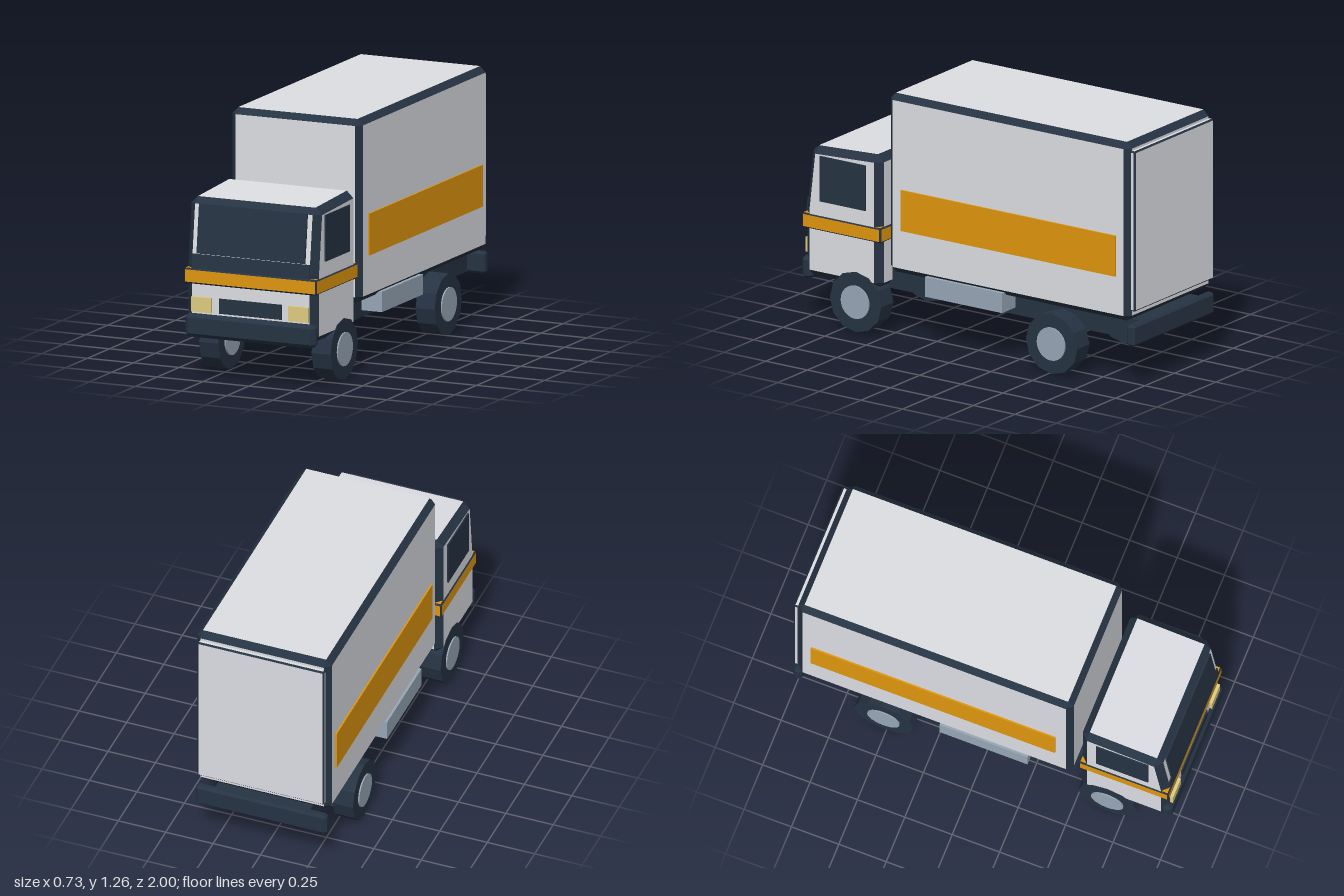
import * as THREE from 'three';

const mat = (name, color) => {
  const m = new THREE.MeshStandardMaterial({ color });
  m.name = name;
  return m;
};

// Convex prism along x with chamfered edges: group 0 = flat panels, group 1 = chamfers.
// corners are inset [z, y] points; panels are pushed outward from them by c.
function chamferedPrism(corners, halfWidth, c) {
  const n = corners.length, panels = [], bevels = [];
  const centre = new THREE.Vector3();
  corners.forEach(([z, y]) => centre.add(new THREE.Vector3(0, y / n, z / n)));
  const point = (x, [z, y]) => new THREE.Vector3(x, y, z);
  const face = (list, pts) => {
    const normal = new THREE.Vector3().crossVectors(
      pts[1].clone().sub(pts[0]), pts[2].clone().sub(pts[0]));
    if (normal.dot(pts[0].clone().sub(centre)) < 0) pts.reverse();
    for (let i = 1; i < pts.length - 1; i++)
      for (const p of [pts[0], pts[i], pts[i + 1]]) list.push(p.x, p.y, p.z);
  };
  // Outward-shifted copy of each edge
  const edges = corners.map((a, i) => {
    const b = corners[(i + 1) % n];
    const dz = b[0] - a[0], dy = b[1] - a[1], l = Math.hypot(dz, dy);
    const shift = p => [p[0] + c * dy / l, p[1] - c * dz / l];
    return [shift(a), shift(b)];
  });
  const inner = halfWidth - c;
  for (let i = 0; i < n; i++) {
    const j = (i + 1) % n, [a, b] = edges[i], next = edges[j][0];
    face(panels, [point(-inner, a), point(-inner, b), point(inner, b), point(inner, a)]);
    face(bevels, [point(-inner, b), point(-inner, next), point(inner, next), point(inner, b)]);
    for (const s of [-1, 1]) {
      face(bevels, [point(s * halfWidth, corners[i]), point(s * halfWidth, corners[j]),
        point(s * inner, b), point(s * inner, a)]);
      face(bevels, [point(s * halfWidth, corners[j]), point(s * inner, b), point(s * inner, next)]);
    }
  }
  for (const s of [-1, 1]) face(panels, corners.map(p => point(s * halfWidth, p)));
  const g = new THREE.BufferGeometry();
  g.setAttribute('position', new THREE.Float32BufferAttribute([...panels, ...bevels], 3));
  g.addGroup(0, panels.length / 3, 0);
  g.addGroup(panels.length / 3, bevels.length / 3, 1);
  g.computeVertexNormals();
  return g;
}

export function createModel() {
  const truck = new THREE.Group();
  truck.name = 'boxTruck';
  const white = mat('white paint', 0xdcdee3);
  const dark = mat('dark navy', 0x263343);
  const orange = mat('orange stripe', 0xe0960e);
  const steel = mat('blue grey metal', 0x97a6b5);
  const lamp = mat('headlight cream', 0xdfcd80);

  const add = (name, geometry, material, parent = truck) => {
    const m = new THREE.Mesh(geometry, material);
    m.name = name;
    parent.add(m);
    return m;
  };
  // Box given by its limits
  const block = (name, material, x0, x1, y0, y1, z0, z1) => {
    const m = add(name, new THREE.BoxGeometry(x1 - x0, y1 - y0, z1 - z0), material);
    m.position.set((x0 + x1) / 2, (y0 + y1) / 2, (z0 + z1) / 2);
    return m;
  };
  // Chamfered box given by its outer limits
  const bevelBox = (name, panel, edge, halfWidth, y0, y1, z0, z1, c) =>
    add(name, chamferedPrism([[z1 - c, y0 + c], [z1 - c, y1 - c], [z0 + c, y1 - c], [z0 + c, y0 + c]],
      halfWidth, c), [panel, edge]);

  // Chassis and bumpers
  block('chassis', dark, -0.25, 0.25, 0.225, 0.33, -0.975, 0.96);
  bevelBox('frontBumper', dark, dark, 0.355, 0.215, 0.335, 0.94, 1.0, 0.02);
  bevelBox('rearBumper', dark, dark, 0.345, 0.22, 0.33, -1.0, -0.955, 0.012);

  // Cargo box with rear door
  bevelBox('cargoBox', white, dark, 0.355, 0.345, 1.265, -0.975, 0.475, 0.03);
  bevelBox('rearDoor', white, dark, 0.335, 0.4, 1.225, -1.0, -0.97, 0.008);

  // Cab with sloping windscreen wall
  const cab = [[0.945, 0.27], [0.945, 0.575], [0.91, 0.873], [0.555, 0.891], [0.555, 0.27]];
  add('cab', chamferedPrism(cab, 0.355, 0.035), [white, dark]);
  bevelBox('cabStripe', orange, dark, 0.361, 0.482, 0.56, 0.513, 0.988, 0.008);

  // Windscreen and sill, lying on the slope
  const slope = Math.atan2(0.035, 0.298);
  const onSlope = (name, width, y0, y1, lift) => {
    const m = add(name, new THREE.BoxGeometry(width, (y1 - y0) / Math.cos(slope), 0.009), dark);
    const y = (y0 + y1) / 2;
    m.position.set(0, y, 0.98 - (y - 0.579) * Math.tan(slope) + lift);
    m.rotation.x = -slope;
  };
  onSlope('windscreen', 0.59, 0.635, 0.88, 0.004);
  onSlope('windscreenSill', 0.64, 0.56, 0.632, 0.001);

  // Grille
  block('grille', dark, -0.17, 0.17, 0.345, 0.42, 0.978, 0.987);

  // Wheel parts, axis along x
  const tyre = new THREE.CylinderGeometry(0.155, 0.155, 0.104, 12).toNonIndexed();
  tyre.computeVertexNormals();
  tyre.rotateZ(Math.PI / 2);
  const hub = new THREE.CylinderGeometry(0.085, 0.085, 0.12, 24).rotateZ(Math.PI / 2);

  for (const s of [-1, 1]) {
    const side = s > 0 ? 'left' : 'right';
    const pair = (name, material, a, b, ...rest) =>
      block(side + name, material, Math.min(s * a, s * b), Math.max(s * a, s * b), ...rest);
    pair('Headlight', lamp, 0.21, 0.318, 0.345, 0.42, 0.97, 0.995);
    pair('SideWindow', dark, 0.353, 0.362, 0.635, 0.868, 0.605, 0.88);
    pair('CargoStripe', orange, 0.354, 0.3635, 0.572, 0.782, -0.9, 0.39);
    pair('FuelTank', steel, 0.24, 0.362, 0.26, 0.362, -0.22, 0.245);
    for (const [end, z] of [['Front', 0.665], ['Rear', -0.515]]) {
      const wheel = new THREE.Group();
      wheel.name = side + end + 'Wheel';
      wheel.position.set(s * 0.305, 0.155, z);
      add('tyre', tyre, dark, wheel).position.x = s * 0.001;
      add('hub', hub, steel, wheel);
      truck.add(wheel);
    }
  }
  return truck;
}
